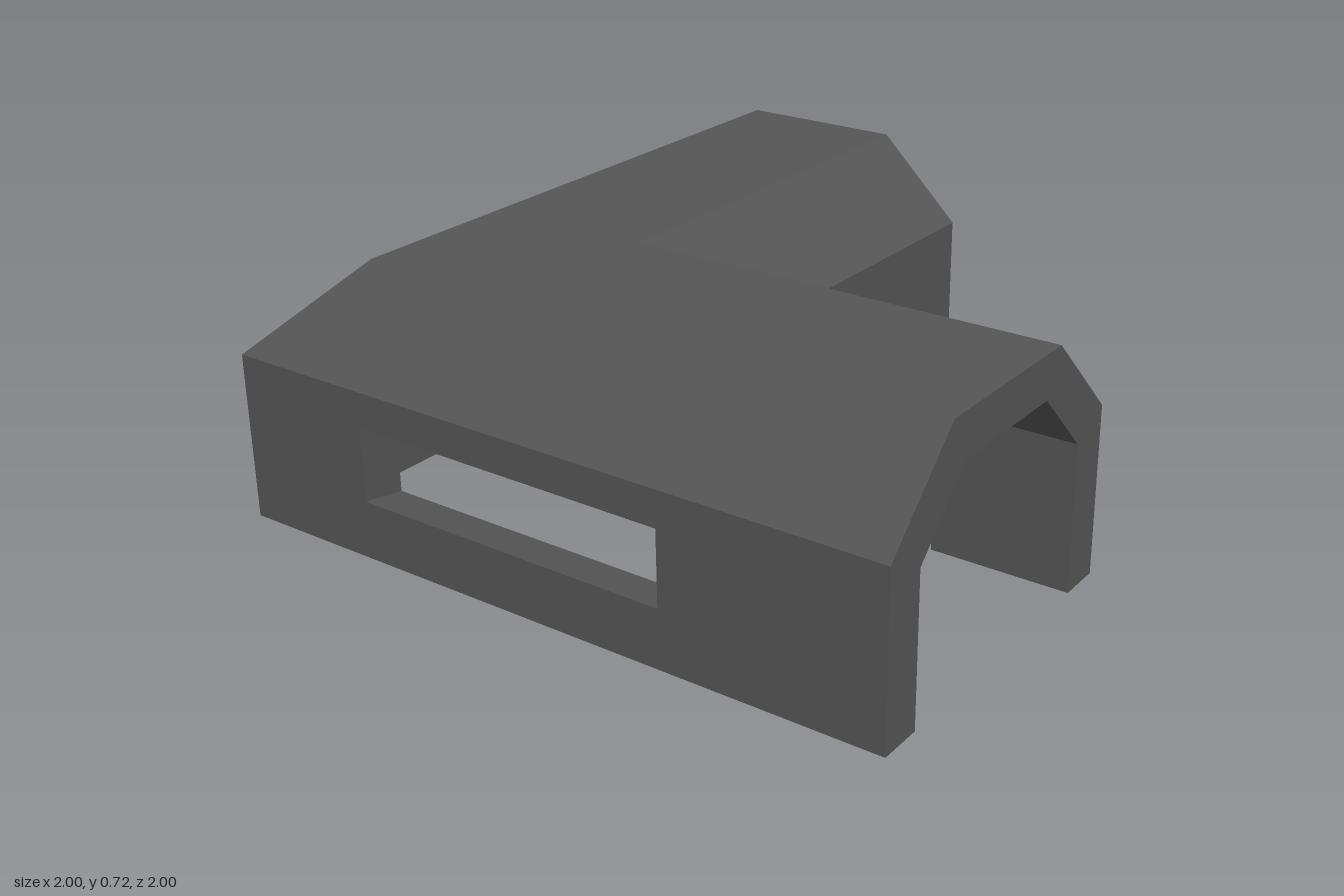
import * as THREE from 'three';

// Tunnel cross-sections as [distance from outer wall, height]
const OUTER = [[0, 0], [0, 0.475], [0.25, 0.72], [0.75, 0.72], [1, 0.475], [1, 0]];
const INNER = [[0.125, 0], [0.125, 0.415], [0.31, 0.6], [0.69, 0.6], [0.875, 0.415], [0.875, 0]];
const GROOVE = [[0.02, 0], [0.02, 0.46], [0.265, 0.7], [0.735, 0.7], [0.98, 0.46], [0.98, 0]];
const END = 1, GROOVE_START = 0.6, GROOVE_END = 0.39;

// Section placed at x, or cut on the diagonal mitre when x is null
const at = (profile, x) => profile.map(([u, y]) => [x === null ? u - 1 : x, y, 1 - u]);
const rect = (x0, x1, y0, y1, z) => [[x0, y0, z], [x1, y0, z], [x1, y1, z], [x0, y1, z]];

// One arm of the corner; the side arm is the front arm mirrored across the diagonal
function armGeometry(mirrored, slotInnerX) {
  const pos = [];
  const put = ([x, y, z]) => (mirrored ? pos.push(-z, y, -x) : pos.push(x, y, z));
  const tri = (a, b, c) => (mirrored ? [a, c, b] : [a, b, c]).forEach(put);
  const strip = (p, q, closed = false) => {
    const n = p.length;
    for (let i = 0; i < (closed ? n : n - 1); i++) {
      const j = (i + 1) % n;
      tri(p[i], p[j], q[j]);
      tri(p[i], q[j], q[i]);
    }
  };

  // Outer roof and courtyard wall
  strip(at(OUTER.slice(1), END), at(OUTER.slice(1), null));

  // Lining: end section, recessed groove, main section
  strip(at(INNER, GROOVE_START), at(INNER, END));
  strip(at(GROOVE, GROOVE_END), at(GROOVE, GROOVE_START));
  strip(at(INNER.slice(1), null), at(INNER.slice(1), GROOVE_END));

  // End face and groove sides
  strip(at(INNER, END), at(OUTER, END));
  strip(at(GROOVE, GROOVE_START), at(INNER, GROOVE_START));
  strip(at(INNER, GROOVE_END), at(GROOVE, GROOVE_END));

  // Slotted outer wall: outside face, flared reveal, inside face
  const slotOut = rect(-0.575, 0.375, 0.165, 0.375, 1);
  const slotIn = rect(slotInnerX, 0.375, 0.145, 0.33, 0.875);
  strip(rect(-1, 1, 0, 0.475, 1), slotOut, true);
  strip(slotOut, slotIn, true);
  strip(slotIn, rect(-0.875, GROOVE_END, 0, 0.415, 0.875), true);

  // Undersides of both walls
  const spans = [[END, GROOVE_START, INNER], [GROOVE_START, GROOVE_END, GROOVE], [GROOVE_END, null, INNER]];
  for (const [a, b, lining] of spans) {
    const edge = (p) => [at([p], a)[0], at([p], b)[0]];
    strip(edge(OUTER[0]), edge(lining[0]));
    strip(edge(lining[5]), edge(OUTER[5]));
  }

  const geometry = new THREE.BufferGeometry();
  geometry.setAttribute('position', new THREE.Float32BufferAttribute(pos, 3));
  geometry.computeVertexNormals();
  return geometry;
}

export function createModel() {
  const group = new THREE.Group();
  group.name = 'cornerBunker';
  const concrete = new THREE.MeshStandardMaterial({ color: 0x555555 });
  concrete.name = 'dark grey concrete';

  const frontArm = new THREE.Mesh(armGeometry(false, -0.575), concrete);
  frontArm.name = 'frontArm';
  const sideArm = new THREE.Mesh(armGeometry(true, -0.54), concrete);
  sideArm.name = 'sideArm';
  group.add(frontArm, sideArm);
  return group;
}
